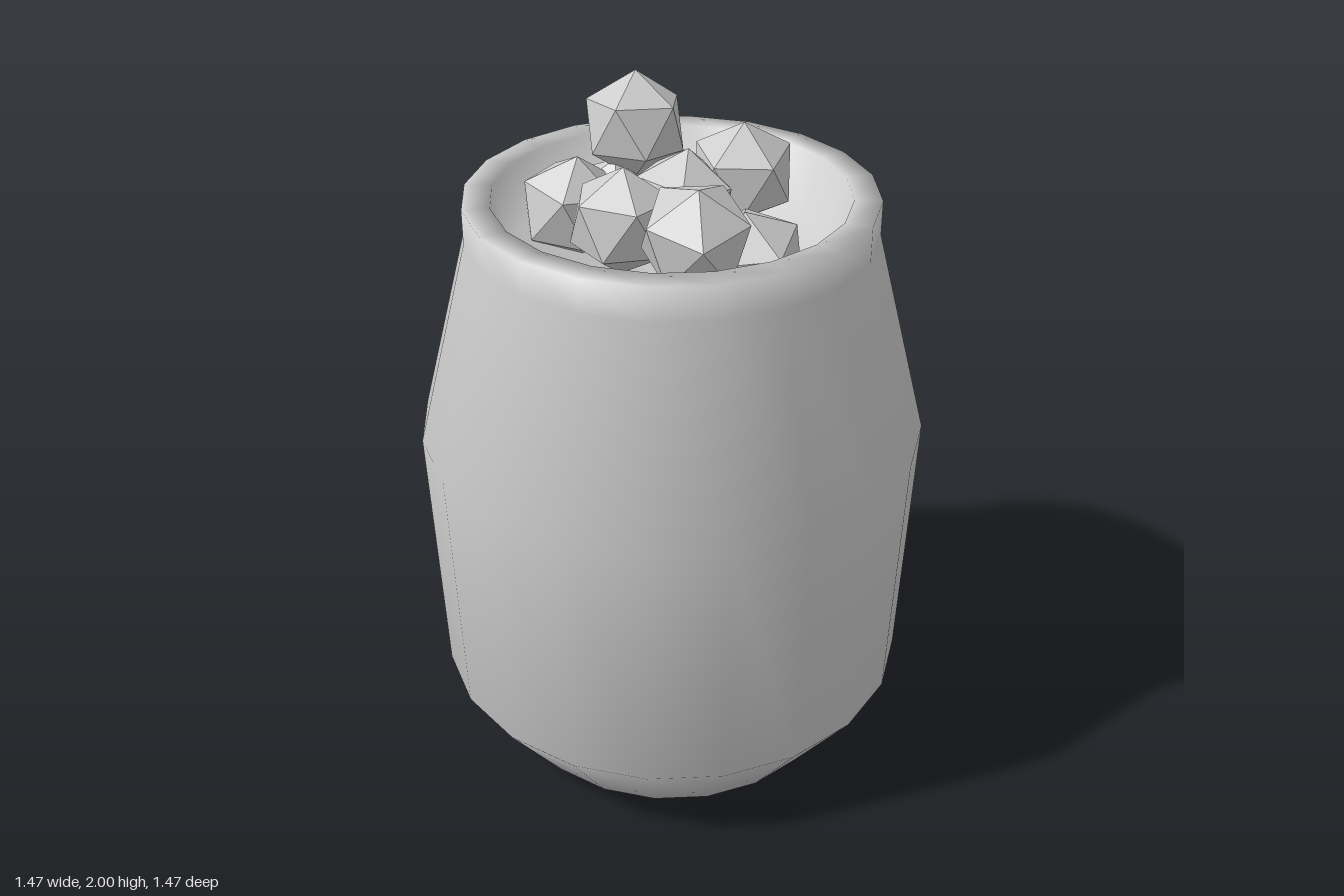
import * as THREE from 'three';

export function createModel() {
  const group = new THREE.Group();
  const grey = new THREE.MeshStandardMaterial({ color: 0xcccccc });
  grey.name = 'plain grey';

  // Pot: outer wall from the base up, over the rim and down into the bowl
  const profile = [
    [0, 0], [0.512, 0], [0.705, 0.26], [0.735, 1.06], [0.578, 1.665], [0.578, 1.765],
    [0.5, 1.765], [0.45, 1.6], [0, 1.47],
  ].map(([r, y]) => new THREE.Vector2(r, y));
  const pot = new THREE.Mesh(new THREE.LatheGeometry(profile, 20), grey);
  pot.name = 'pot';
  group.add(pot);

  // Stones: centre x, y, z, lean of the top corner in x and z, spin
  const stones = [
    [0.065, 1.842, -0.32, 0.08, -0.1, 0.3],
    [-0.11, 1.783, 0.31, -0.12, 0.3, 0.9],
    [0.295, 1.728, -0.1, -0.05, 0.1, 0.1],
    [0.09, 1.68, -0.1, 0.15, 0.0, 0.6],
    [0.1, 1.64, 0.25, -0.2, 0.1, 0.2],
    [-0.13, 1.69, -0.05, 0.05, 0.0, 1.0],
    [-0.165, 1.65, -0.285, 0.1, 0.1, 0.5],
    [-0.01, 1.6, -0.32, 0.0, 0.1, 0.8],
  ];
  const stoneShape = new THREE.IcosahedronGeometry(0.158, 0);
  const golden = (1 + Math.sqrt(5)) / 2;
  const corner = new THREE.Vector3(0, 1, golden).normalize();
  const pile = new THREE.Group();
  pile.name = 'stonePile';
  stones.forEach(([x, y, z, leanX, leanZ, spin], i) => {
    const stone = new THREE.Mesh(stoneShape, grey);
    const up = new THREE.Vector3(leanX, 1, leanZ).normalize();
    stone.quaternion.setFromUnitVectors(corner, up);
    stone.quaternion.premultiply(new THREE.Quaternion().setFromAxisAngle(up, spin));
    stone.position.set(x, y, z);
    stone.name = `stone${i + 1}`;
    pile.add(stone);
  });
  group.add(pile);

  return group;
}
